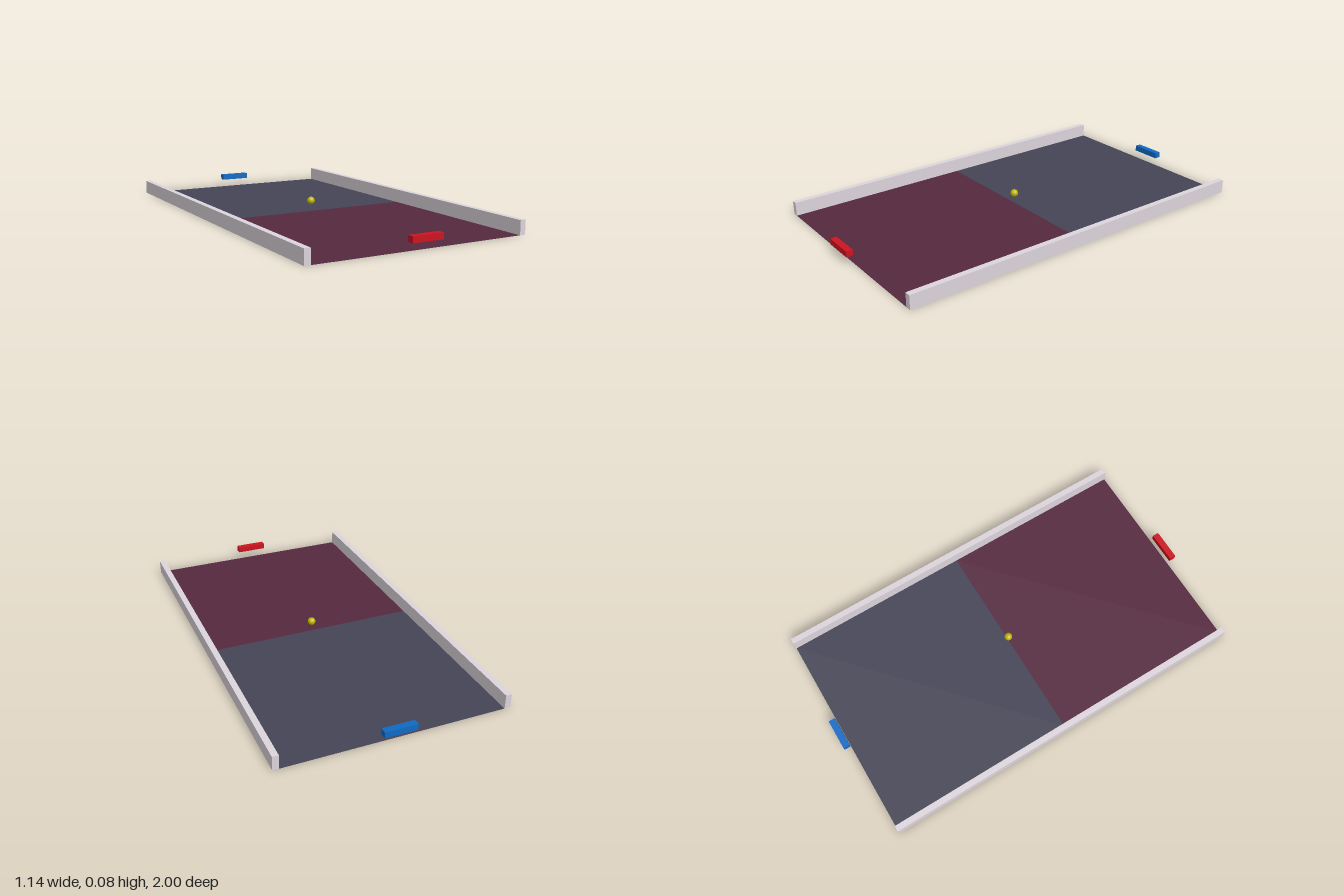
import * as THREE from 'three';

const HALF_LENGTH = 0.967;
const FLOOR_WIDTH = 1.08;
const WALL_HEIGHT = 0.07;
const WALL_WIDTH = 0.03;

export function createModel() {
  const model = new THREE.Group();
  model.name = 'paddleGameTable';

  const add = (name, geometry, color, x, y, z, side = THREE.FrontSide) => {
    const mesh = new THREE.Mesh(geometry, new THREE.MeshStandardMaterial({ color, side }));
    mesh.name = name;
    mesh.position.set(x, y, z);
    model.add(mesh);
    return mesh;
  };

  // Each player's end: a thin half of the floor and a paddle floating just past its edge
  const ends = [
    { name: 'front', dir: 1, floor: 0x55283f, paddle: 0xcc1420 },
    { name: 'back', dir: -1, floor: 0x444456, paddle: 0x0f6ac4 },
  ];
  for (const { name, dir, floor, paddle } of ends) {
    const half = new THREE.PlaneGeometry(FLOOR_WIDTH, HALF_LENGTH).rotateX(-Math.PI / 2);
    add(`${name}Floor`, half, floor, 0, 0, dir * HALF_LENGTH / 2, THREE.DoubleSide);
    const depth = 1 - HALF_LENGTH;
    add(`${name}Paddle`, new THREE.BoxGeometry(0.16, 0.03, depth), paddle,
      0, 0.055, dir * (1 - depth / 2));
  }

  // Side walls
  for (const [name, dir] of [['leftWall', 1], ['rightWall', -1]]) {
    add(name, new THREE.BoxGeometry(WALL_WIDTH, WALL_HEIGHT, HALF_LENGTH * 2), 0xdcd5dc,
      dir * (FLOOR_WIDTH + WALL_WIDTH) / 2, WALL_HEIGHT / 2, 0);
  }

  // Ball hovering over the centre line
  add('ball', new THREE.SphereGeometry(0.02, 32, 16), 0xc0b400, 0, 0.055, 0);

  return model;
}
